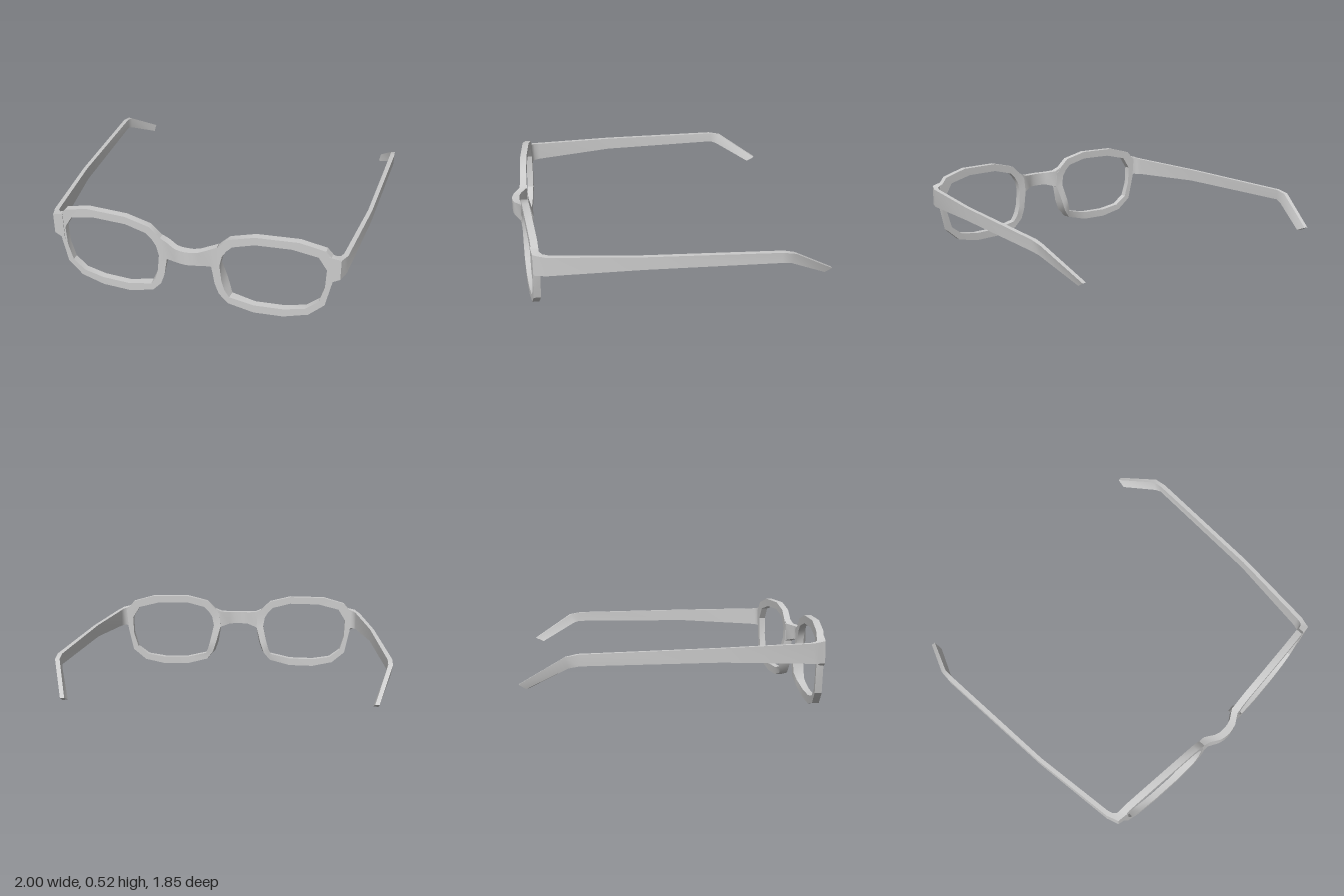
import * as THREE from 'three';
import { toCreasedNormals } from 'three/addons/utils/BufferGeometryUtils.js';

const material = new THREE.MeshStandardMaterial({ color: 0xcccccc });

// Skin over four-cornered cross-sections; closed joins the last to the first.
function loft(name, sections, { closed = false, mirror = false } = {}) {
  const secs = mirror
    ? sections.map((s) => s.map(([x, y, z]) => [-x, y, z]).reverse())
    : sections;
  const n = secs.length;
  const index = [];
  for (let i = 0; i < (closed ? n : n - 1); i++) {
    for (let j = 0; j < 4; j++) {
      const a = i * 4 + j, b = i * 4 + ((j + 1) % 4);
      const k = ((i + 1) % n) * 4;
      const c = k + ((j + 1) % 4), d = k + j;
      index.push(a, b, c, a, c, d);
    }
  }
  if (!closed) {
    const e = (n - 1) * 4;
    index.push(0, 3, 2, 0, 2, 1, e, e + 1, e + 2, e, e + 2, e + 3);
  }
  const geometry = new THREE.BufferGeometry();
  geometry.setAttribute('position', new THREE.Float32BufferAttribute(secs.flat(2), 3));
  geometry.setIndex(index);
  const mesh = new THREE.Mesh(toCreasedNormals(geometry, 0.6), material);
  mesh.name = name;
  return mesh;
}

// The front wraps gently backwards towards the sides.
const frontZ = (x) => 0.867 - 0.0745 * x * x;

// Rim outline: outer x, y, inner x, y, nose pad depth
const RIM = [
  [0.24, 0.487, 0.26, 0.44, 0],
  [0.39, 0.525, 0.39, 0.475, 0],
  [0.64, 0.525, 0.60, 0.475, 0],
  [0.79, 0.485, 0.75, 0.44, 0],
  [0.845, 0.42, 0.80, 0.36, 0],
  [0.835, 0.28, 0.795, 0.24, 0],
  [0.80, 0.115, 0.765, 0.135, 0],
  [0.71, 0.035, 0.69, 0.075, 0],
  [0.565, 0, 0.565, 0.052, 0],
  [0.39, 0, 0.39, 0.052, 0],
  [0.235, 0.04, 0.243, 0.085, 0.01],
  [0.18, 0.10, 0.215, 0.13, 0.028],
  [0.155, 0.17, 0.197, 0.19, 0.03],
  [0.135, 0.29, 0.185, 0.30, 0.005],
  [0.145, 0.39, 0.20, 0.365, 0],
  [0.19, 0.44, 0.225, 0.405, 0],
];

function rim(name, mirror) {
  const sections = RIM.map(([ox, oy, ix, iy, pad]) => [
    [ix + pad * 0.5, iy, frontZ(ix) - 0.042 - pad],
    [ox + pad * 0.5, oy, frontZ(ox) - 0.042 - pad],
    [ox, oy, frontZ(ox)],
    [ix, iy, frontZ(ix)],
  ]);
  return loft(name, sections, { closed: true, mirror });
}

// Temple: inner x, z, outer x, z, bottom y, top y
const TEMPLE = [
  [0.81, 0.781, 0.81, 0.822, 0.275, 0.45],
  [0.846, 0.772, 0.877, 0.812, 0.305, 0.435],
  [0.866, 0.755, 0.885, 0.785, 0.305, 0.43],
  [0.876, 0.72, 0.902, 0.74, 0.308, 0.425],
  [0.935, 0.2, 0.96, 0.2, 0.335, 0.415],
  [0.972, -0.6, 1.0, -0.59, 0.335, 0.40],
];

function temple(name, mirror) {
  const sections = TEMPLE.map(([ix, iz, ox, oz, lo, hi]) => [
    [ix, lo, iz], [ix, hi, iz], [ox, hi, oz], [ox, lo, oz],
  ]);
  // ear hook, bent down and inwards
  sections.push(
    [[0.962, 0.322, -0.64], [0.97, 0.385, -0.665], [0.996, 0.385, -0.67], [0.988, 0.322, -0.65]],
    [[0.873, 0.195, -0.87], [0.879, 0.22, -0.925], [0.903, 0.22, -0.928], [0.90, 0.195, -0.885]],
  );
  return loft(name, sections, { mirror });
}

// Bridge half: x, back z, front z, bottom y, top y
const BRIDGE = [
  [0, 0.875, 0.922, 0.308, 0.395],
  [0.035, 0.873, 0.918, 0.308, 0.395],
  [0.07, 0.862, 0.908, 0.307, 0.396],
  [0.13, 0.825, 0.872, 0.29, 0.405],
  [0.172, 0.824, 0.866, 0.265, 0.425],
];

function bridge() {
  const left = BRIDGE.slice(1).reverse().map(([x, ...rest]) => [-x, ...rest]);
  return loft('bridge', [...left, ...BRIDGE].map(([x, back, front, lo, hi]) => [
    [x, lo, back], [x, hi, back], [x, hi, front], [x, lo, front],
  ]));
}

export function createModel() {
  const group = new THREE.Group();
  group.name = 'eyeglasses';
  group.add(bridge());
  for (const [side, mirror] of [['left', false], ['right', true]]) {
    group.add(rim(side + 'Rim', mirror), temple(side + 'Temple', mirror));
  }
  return group;
}
